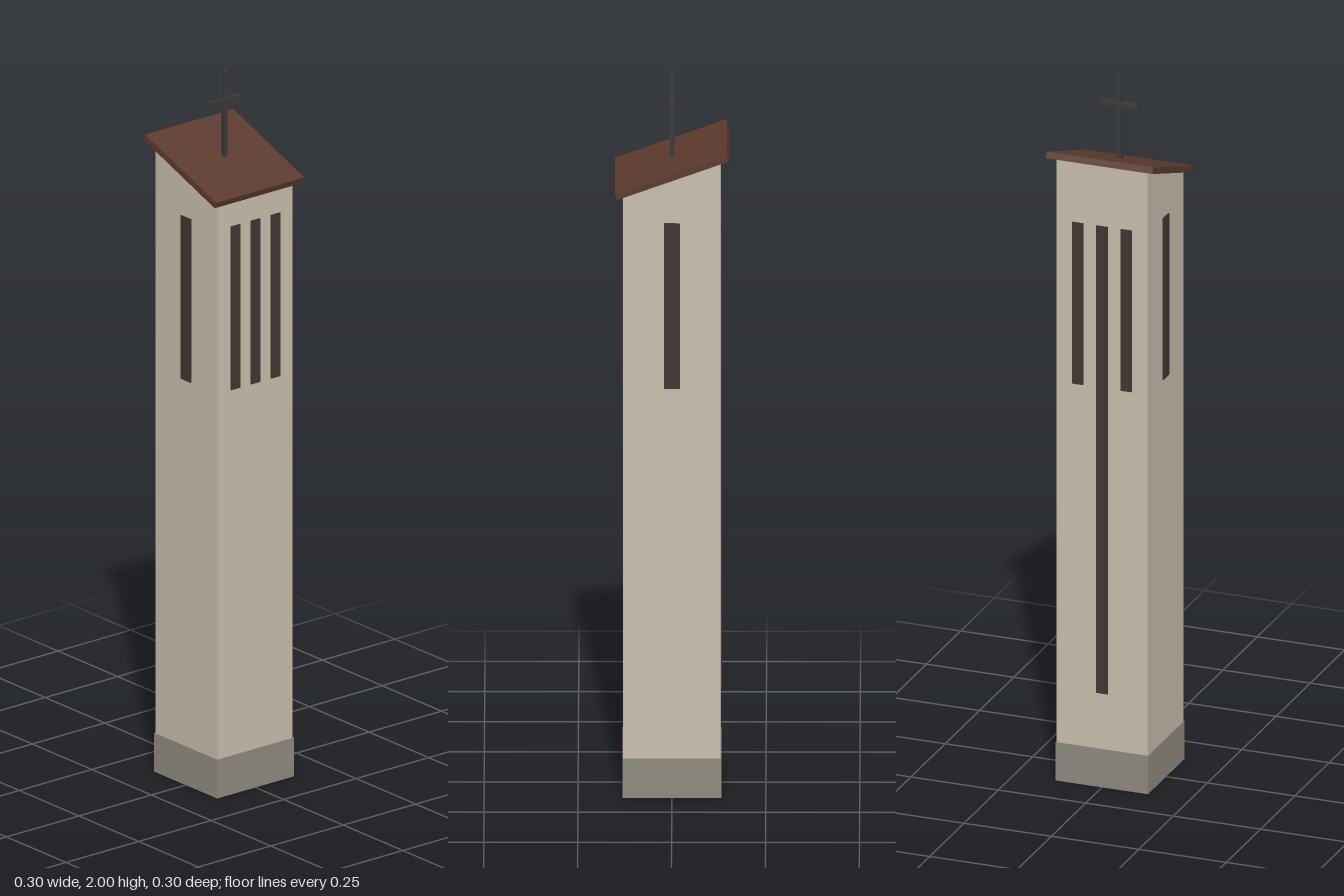
import * as THREE from 'three';

export function createModel() {
  const tower = new THREE.Group();
  tower.name = 'bellTower';

  const material = (name, color) => {
    const m = new THREE.MeshStandardMaterial({ color });
    m.name = name;
    return m;
  };
  const plaster = material('plaster', 0xc8bdac);
  const stone = material('stone', 0x8f897e);
  const tile = material('roofTile', 0x5c3a2e);
  const opening = material('darkOpening', 0x3f3733);
  const iron = material('iron', 0x3a3938);

  const add = (name, geometry, mat, x = 0, y = 0, z = 0) => {
    const mesh = new THREE.Mesh(geometry, mat);
    mesh.name = name;
    mesh.position.set(x, y, z);
    tower.add(mesh);
    return mesh;
  };
  const box = (name, w, h, d, mat, x, y, z) =>
    add(name, new THREE.BoxGeometry(w, h, d), mat, x, y, z);

  const half = 0.13;
  const pitch = THREE.MathUtils.degToRad(20);
  const roofY = 1.75;
  const roofThickness = 0.018;

  // Plinth
  box('plinth', 0.264, 0.11, 0.264, stone, 0, 0.055, 0);

  // Shaft with a top sloping under the single-pitch roof
  const eave = (x) => roofY - roofThickness / 2 / Math.cos(pitch) - x * Math.tan(pitch);
  const profile = new THREE.Shape([
    new THREE.Vector2(-half, 0.11),
    new THREE.Vector2(half, 0.11),
    new THREE.Vector2(half, eave(half)),
    new THREE.Vector2(-half, eave(-half)),
  ]);
  const shaft = new THREE.ExtrudeGeometry(profile, { depth: half * 2, bevelEnabled: false });
  add('shaft', shaft, plaster, 0, 0, -half);

  // Roof slab, high on the right-hand side
  const roof = box('roof', 0.317, roofThickness, 0.304, tile, 0, roofY, 0);
  roof.rotation.z = -pitch;

  // Belfry slits: one on front and back, three on each side
  const low = 1.15, high = 1.615, proud = 0.006;
  const slitY = (low + high) / 2;
  for (const s of [1, -1]) {
    box(s > 0 ? 'frontSlit' : 'backSlit', 0.042, high - low, proud, opening, 0, slitY, s * half);
    for (const z of [-0.069, 0, 0.069]) {
      // The middle slit on the -x side runs far down the shaft
      const bottom = s < 0 && z === 0 ? 0.27 : low;
      box(s > 0 ? 'leftSlit' : 'rightSlit', proud, high - bottom, 0.032, opening,
        s * half, (high + bottom) / 2, z);
    }
  }

  // Cross, its arm running front to back
  box('crossPost', 0.013, 0.255, 0.013, iron, 0, 1.8725, -0.001);
  box('crossArm', 0.013, 0.013, 0.106, iron, 0, 1.915, -0.001);

  return tower;
}
